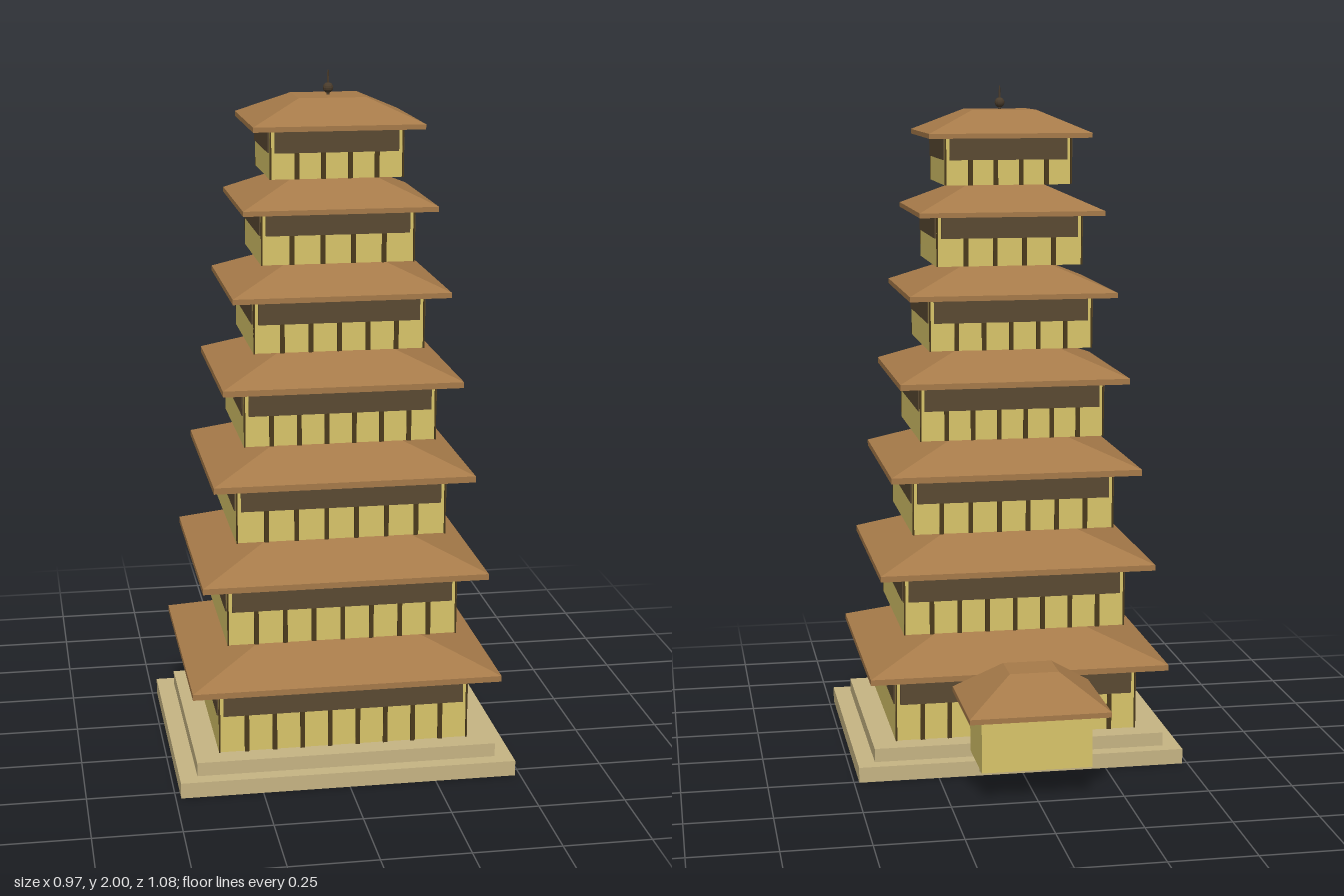
import * as THREE from 'three';

const mat = (color) => new THREE.MeshStandardMaterial({ color, flatShading: true });
const ROOF = mat(0xa67a49), WALL = mat(0xd8c469), STONE = mat(0xc6b483);
const SHADE = mat(0x5a4932), POST = mat(0x4a3a1c), METAL = mat(0x4a3c2c);

function add(parent, name, geometry, material, x = 0, y = 0, z = 0) {
  const m = new THREE.Mesh(geometry, material);
  m.name = name;
  m.position.set(x, y, z);
  parent.add(m);
  return m;
}

// Box given by half widths and a bottom / top height
function block(parent, name, material, hx, y0, y1, hz, x = 0, z = 0) {
  return add(parent, name, new THREE.BoxGeometry(hx * 2, y1 - y0, hz * 2), material, x, (y0 + y1) / 2, z);
}

// Eave slab with a truncated pyramid above it
function hipRoof(parent, name, hx, hz, y0, y1, y2, taper) {
  const roof = new THREE.Group();
  roof.name = name;
  block(roof, 'eave', ROOF, hx, y0, y1, hz);
  const slope = new THREE.CylinderGeometry(taper * Math.SQRT2, Math.SQRT2, y2 - y1, 4);
  slope.rotateY(Math.PI / 4).scale(hx, 1, hz);
  add(roof, 'roofSlope', slope, ROOF, 0, (y1 + y2) / 2, 0);
  parent.add(roof);
  return roof;
}

// One storey: walls, shaded upper panels on four sides, posts front and back, roof
function storey(parent, index, [base, band, eave, eaveTop, top, wx, wz, ex, ez, posts]) {
  const g = new THREE.Group();
  g.name = `storey${index + 1}`;
  const hz = wz - 0.006;
  block(g, 'walls', WALL, wx, base, eave, hz);
  for (const s of [-1, 1]) {
    block(g, 'upperPanel', SHADE, wx - 0.014, band, eave, 0.004, 0, s * (hz + 0.003));
    block(g, 'sidePanel', SHADE, 0.004, band, eave, hz - 0.008, s * wx);
    for (let i = 1; i <= posts; i++) {
      const x = wx * (2 * i / (posts + 1) - 1);
      block(g, 'post', POST, 0.0065, base, eave, 0.006, x, s * hz);
    }
    // slim corner posts on the front and back faces
    for (const c of [-1, 1]) block(g, 'cornerPost', POST, 0.002, base, eave, 0.004, c * (wx - 0.002), s * (hz + 0.002));
  }
  hipRoof(g, 'roof', ex, ez, eave, eaveTop, top, 0.4);
  parent.add(g);
}

export function createModel() {
  const model = new THREE.Group();
  model.name = 'pagoda';

  const tower = new THREE.Group();
  tower.name = 'tower';
  tower.position.z = 0.142;
  model.add(tower);

  // Two-step plinth
  block(tower, 'lowerPlinth', STONE, 0.485, 0, 0.045, 0.398);
  block(tower, 'upperPlinth', STONE, 0.434, 0.045, 0.085, 0.355);

  // base, panel bottom, eave bottom, eave top, roof top, wall x/z, eave x/z, posts
  const storeys = [
    [0.085, 0.196, 0.283, 0.300, 0.400, 0.364, 0.296, 0.445, 0.373, 8],
    [0.400, 0.500, 0.583, 0.600, 0.697, 0.333, 0.269, 0.409, 0.341, 7],
    [0.697, 0.790, 0.866, 0.884, 0.972, 0.302, 0.246, 0.372, 0.314, 6],
    [0.972, 1.061, 1.135, 1.152, 1.235, 0.275, 0.224, 0.340, 0.285, 6],
    [1.235, 1.317, 1.388, 1.403, 1.480, 0.243, 0.203, 0.307, 0.258, 5],
    [1.480, 1.562, 1.627, 1.641, 1.715, 0.217, 0.179, 0.273, 0.232, 4],
    [1.715, 1.788, 1.852, 1.866, 1.930, 0.188, 0.157, 0.240, 0.203, 4],
  ];
  storeys.forEach((s, i) => storey(tower, i, s));

  // Finial
  add(tower, 'finialPole', new THREE.CylinderGeometry(0.002, 0.004, 0.07, 8), METAL, 0, 1.965, 0);
  add(tower, 'finialBall', new THREE.SphereGeometry(0.015, 12, 8), METAL, 0, 1.95, 0);

  // Rear porch with its own roof
  const porch = new THREE.Group();
  porch.name = 'rearPorch';
  porch.position.z = -0.378;
  block(porch, 'porchWalls', WALL, 0.16, 0.087, 0.25, 0.104);
  hipRoof(porch, 'porchRoof', 0.203, 0.161, 0.25, 0.265, 0.36, 0.35);
  model.add(porch);

  // Steps rising from the plinth to the porch
  for (let i = 0; i < 4; i++) {
    block(model, 'step', STONE, 0.13, 0.014 + i * 0.0185, 0.0325 + i * 0.0185, 0.02, 0, -0.252 - i * 0.04);
  }
  return model;
}
